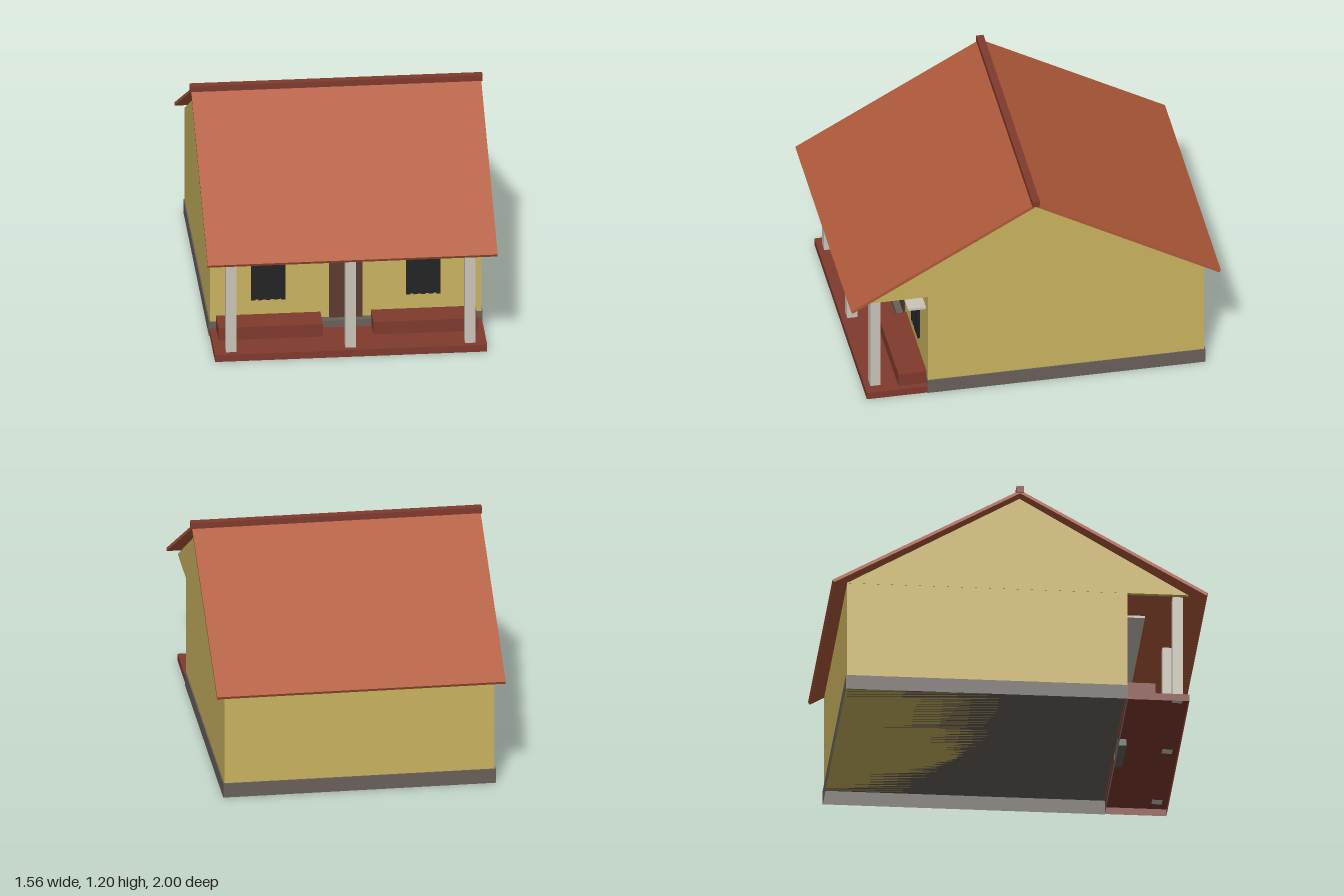
import * as THREE from 'three';

const material = (name, color, side = THREE.FrontSide) => {
  const m = new THREE.MeshStandardMaterial({ color, side });
  m.name = name;
  return m;
};

export function createModel() {
  const house = new THREE.Group();
  house.name = 'house';

  const ochre = material('ochre wall', 0xcab460);
  const tile = material('terracotta tile', 0xb05a3a);
  const red = material('red oxide', 0x803a2d, THREE.DoubleSide);
  const stone = material('grey stone', 0x68605a, THREE.DoubleSide);
  const pale = material('pale concrete', 0xcbc5b8);
  const wood = material('dark wood', 0x5b3c2f);
  const black = material('black iron', 0x232323);

  const add = (name, geometry, mat) => {
    const mesh = new THREE.Mesh(geometry, mat);
    mesh.name = name;
    house.add(mesh);
    return mesh;
  };
  // Box given by its limits on each axis
  const box = (name, mat, [x0, x1], [y0, y1], [z0, z1]) => {
    const g = new THREE.BoxGeometry(x1 - x0, y1 - y0, z1 - z0);
    g.translate((x0 + x1) / 2, (y0 + y1) / 2, (z0 + z1) / 2);
    return add(name, g, mat);
  };
  // Box without its bottom face
  const shell = (...args) => {
    const mesh = box(...args);
    const index = Array.from(mesh.geometry.index.array);
    index.splice(18, 6);
    mesh.geometry.setIndex(index);
    mesh.geometry.clearGroups();
  };
  // Side profile of [z, y] points, extruded across x around a centre
  const profile = (name, mat, points, width, x = 0) => {
    const shape = new THREE.Shape(points.map(([z, y]) => new THREE.Vector2(z, y)));
    const g = new THREE.ExtrudeGeometry(shape, { depth: width, bevelEnabled: false });
    g.rotateY(-Math.PI / 2).translate(x + width / 2, 0, 0);
    add(name, g, mat);
  };

  // Foundation, porch floor and door step
  shell('plinth', stone, [-0.73, 0.73], [0, 0.08], [-0.925, 0.578]);
  shell('porchFloor', red, [-0.725, 0.725], [0, 0.04], [0.578, 0.905]);
  box('doorStep', stone, [-0.135, 0.135], [0.002, 0.08], [0.579, 0.62]);

  // Walls, with gable panels that reach out over the porch
  box('walls', ochre, [-0.724, 0.724], [0.08, 0.622], [-0.918, 0.575]);
  for (const s of [-1, 1]) {
    profile('gable', ochre, [[-0.918, 0.62], [0.9, 0.62], [0, 1.15], [-0.918, 0.622]], 0.025, s * 0.7125);
  }

  // Two roof slopes and the ridge cap
  for (const s of [-1, 1]) {
    profile('roofSlope', tile, [[0, 1.178], [s, 0.615], [s * 0.992, 0.6], [0, 1.16]], 1.545);
  }
  box('ridgeCap', red, [-0.78, 0.78], [1.165, 1.2], [-0.02, 0.02]);

  // Porch posts
  for (const x of [-0.637, 0, 0.637]) {
    box('porchPost', pale, [x - 0.028, x + 0.028], [0.04, 0.635], [0.82, 0.875]);
  }

  // Door, lintel and long sunshade
  box('door', wood, [-0.09, 0.09], [0.08, 0.47], [0.575, 0.584]);
  box('doorLintel', pale, [-0.112, 0.112], [0.468, 0.493], [0.575, 0.595]);
  box('sunshade', pale, [-0.67, 0.67], [0.503, 0.516], [0.575, 0.673]);

  // Benches and barred windows on both sides of the door
  for (const s of [-1, 1]) {
    const c = s * 0.413;
    box('bench', red, [c - 0.278, c + 0.278], [0.04, 0.113], [0.575, 0.728]);
    box('windowPane', black, [c - 0.092, c + 0.092], [0.2, 0.42], [0.574, 0.579]);
    for (let i = 0; i < 5; i++) {
      const x = c - 0.08 + i * 0.04;
      box('windowBar', black, [x - 0.012, x + 0.012], [0.2, 0.42], [0.578, 0.588]);
    }
  }
  return house;
}
